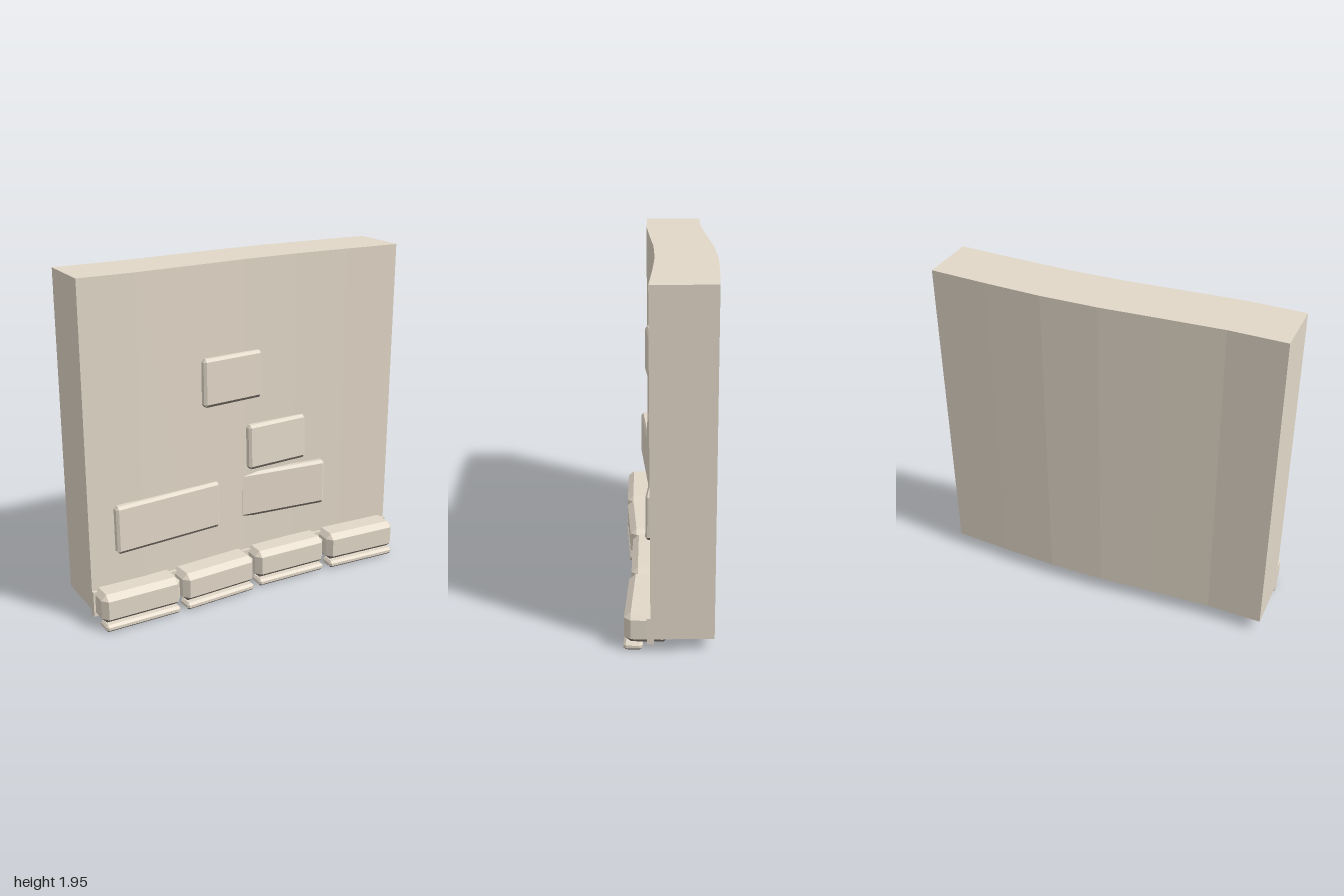
import * as THREE from 'three';
import { ConvexGeometry } from 'three/addons/geometries/ConvexGeometry.js';

const stone = new THREE.MeshStandardMaterial({ color: 0xe1d7c7 });
stone.name = 'pale warm stone';
const underside = new THREE.MeshStandardMaterial({ color: 0x8b807a });
underside.name = 'dark underside stone';

// Gently curving plan of the wall: [x, z of the back face]
const PLAN = [[-1, -0.222], [-0.68, -0.216], [-0.34, -0.234], [0, -0.254], [0.33, -0.257], [0.66, -0.242], [1, -0.221]];

// Mesh with pale stone everywhere except the faces that point down
function stoneMesh(name, geometry) {
  const normal = geometry.attributes.normal;
  geometry.clearGroups();
  for (let i = 0; i < normal.count; i += 3) geometry.addGroup(i, 3, normal.getY(i) < -0.5 ? 1 : 0);
  const mesh = new THREE.Mesh(geometry, [stone, underside]);
  mesh.name = name;
  return mesh;
}

// Slab that follows the plan, between two offsets from the back face
function curvedSlab(name, near, far, y0, y1) {
  const outline = [
    ...PLAN.map(([x, z]) => new THREE.Vector2(x, -(z + far))),
    ...[...PLAN].reverse().map(([x, z]) => new THREE.Vector2(x, -(z + near))),
  ];
  const geometry = new THREE.ExtrudeGeometry(new THREE.Shape(outline), { depth: y1 - y0, bevelEnabled: false });
  geometry.rotateX(-Math.PI / 2).translate(0, y0, 0);
  return stoneMesh(name, geometry);
}

// Box with every edge chamfered; bevels may differ per axis
function chamferedBox(name, w, h, d, bx, by, bz) {
  const points = [];
  for (const sx of [-1, 1]) for (const sy of [-1, 1]) for (const sz of [-1, 1]) {
    const x = w / 2, y = h / 2, z = d / 2;
    points.push(
      new THREE.Vector3(sx * x, sy * (y - by), sz * (z - bz)),
      new THREE.Vector3(sx * (x - bx), sy * y, sz * (z - bz)),
      new THREE.Vector3(sx * (x - bx), sy * (y - by), sz * z),
    );
  }
  return stoneMesh(name, new ConvexGeometry(points));
}

export function createModel() {
  const model = new THREE.Group();
  model.name = 'stoneWall';

  // Main wall and the strip behind the base blocks
  model.add(curvedSlab('wall', 0, 0.333, 0.08, 1.945));
  model.add(curvedSlab('baseStrip', 0.315, 0.352, 0.05, 0.2));

  // Base blocks, each with a thin rail: centre x, front z at centre, rise of z along x
  const blocks = [[-0.75, 0.25, 0], [-0.252, 0.238, -0.055], [0.248, 0.213, 0.01], [0.746, 0.238, 0.055]];
  for (const [x, z, slope] of blocks) {
    const unit = new THREE.Group();
    unit.name = 'baseBlock';
    const block = chamferedBox('block', 0.478, 0.17, 0.24, 0.03, 0.03, 0.036);
    block.position.set(0, 0.13, -0.12);
    const rail = chamferedBox('footRail', 0.455, 0.042, 0.1, 0.012, 0.013, 0.014);
    rail.position.set(0, 0.021, -0.046);
    unit.add(block, rail);
    unit.position.set(x, 0, z);
    unit.rotation.y = -Math.atan(slope);
    model.add(unit);
  }

  // Raised stones: x range, y range, front z at left and right, forward lean of the foot
  const stones = [
    [-0.29, 0.096, 1.148, 1.426, 0.131, 0.1, 0.01],
    [0.002, 0.398, 0.722, 0.99, 0.124, 0.102, 0.04],
    [-0.853, -0.188, 0.405, 0.685, 0.16, 0.112, 0.01],
    [-0.035, 0.522, 0.41, 0.685, 0.08, 0.136, 0.015],
  ];
  for (const [x0, x1, y0, y1, z0, z1, lean] of stones) {
    const slab = chamferedBox('raisedStone', x1 - x0, y1 - y0, 0.05, 0.014, 0.017, 0.012);
    slab.geometry.translate(0, 0, -0.025);
    slab.position.set((x0 + x1) / 2, (y0 + y1) / 2, (z0 + z1) / 2);
    slab.rotation.set(-lean, -Math.atan((z1 - z0) / (x1 - x0)), 0);
    model.add(slab);
  }
  return model;
}
